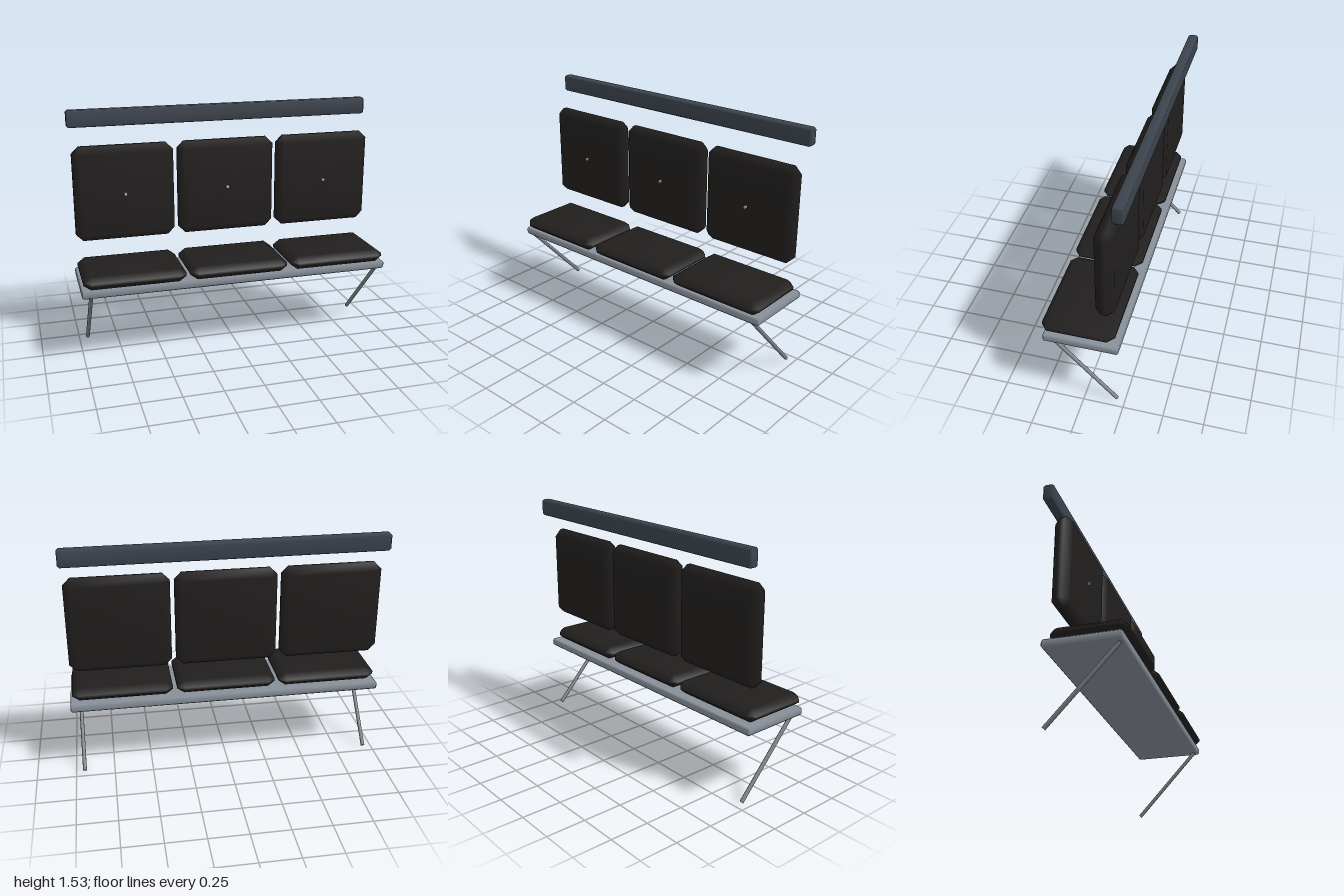
import * as THREE from 'three';
import { ConvexGeometry } from 'three/addons/geometries/ConvexGeometry.js';
import { mergeVertices } from 'three/addons/utils/BufferGeometryUtils.js';

const paint = (color) => new THREE.MeshStandardMaterial({ color });

// Box with one chamfer along every edge; bx, by, bz are the cuts along each axis
function chamferBox(w, h, d, bx, by = bx, bz = bx) {
  const [x, y, z] = [w / 2, h / 2, d / 2];
  const points = [];
  for (const sx of [-1, 1]) for (const sy of [-1, 1]) for (const sz of [-1, 1]) {
    points.push(
      new THREE.Vector3(sx * x, sy * (y - by), sz * (z - bz)),
      new THREE.Vector3(sx * (x - bx), sy * y, sz * (z - bz)),
      new THREE.Vector3(sx * (x - bx), sy * (y - by), sz * z));
  }
  // Shared corners give soft, area-weighted shading
  let geometry = new ConvexGeometry(points);
  geometry.deleteAttribute('normal');
  geometry = mergeVertices(geometry, 1e-5);
  geometry.computeVertexNormals();
  return geometry;
}

export function createModel() {
  const model = new THREE.Group();
  model.name = 'bench';

  const frameMat = paint(0x878f99);
  const railMat = paint(0x3c434d);
  const cushionMat = paint(0x211f1e);
  const legMat = paint(0x808388);
  const buttonMat = paint(0xcccccc);

  function add(name, geometry, material, x, y, z) {
    const mesh = new THREE.Mesh(geometry, material);
    mesh.name = name;
    mesh.position.set(x, y, z);
    model.add(mesh);
    return mesh;
  }

  // Seat board and top rail
  add('seatBoard', chamferBox(2, 0.05, 0.46, 0.01), frameMat, 0, 0.48, 0.01);
  add('topRail', chamferBox(2, 0.108, 0.066, 0.012), railMat, 0, 1.481, -0.223);

  // Three places, each with a seat cushion, a back cushion and a button
  const seatGeo = chamferBox(0.64, 0.086, 0.445, 0.045, 0.034, 0.04);
  const backGeo = chamferBox(0.64, 0.61, 0.112, 0.045, 0.045, 0.043);
  const buttonGeo = new THREE.CylinderGeometry(0.01, 0.01, 0.012, 12);
  buttonGeo.rotateX(Math.PI / 2);
  for (const x of [-0.667, 0, 0.667]) {
    add('seatCushion', seatGeo, cushionMat, x, 0.547, 0.033);
    add('backCushion', backGeo, cushionMat, x, 1.016, -0.133);
    add('cushionButton', buttonGeo, buttonMat, x, 1.015, -0.067);
  }

  // Slanted legs, from under the front edge back to the floor
  const top = new THREE.Vector3(0, 0.455, 0.212);
  const foot = new THREE.Vector3(0, 0.009, -0.199);
  const axis = top.clone().sub(foot);
  const legGeo = new THREE.CylinderGeometry(0.0125, 0.0125, axis.length(), 12);
  const middle = top.clone().add(foot).multiplyScalar(0.5);
  for (const side of [-1, 1]) {
    const leg = add(side > 0 ? 'leftLeg' : 'rightLeg', legGeo, legMat, side * 0.945, middle.y, middle.z);
    leg.quaternion.setFromUnitVectors(new THREE.Vector3(0, 1, 0), axis.clone().normalize());
  }

  return model;
}
